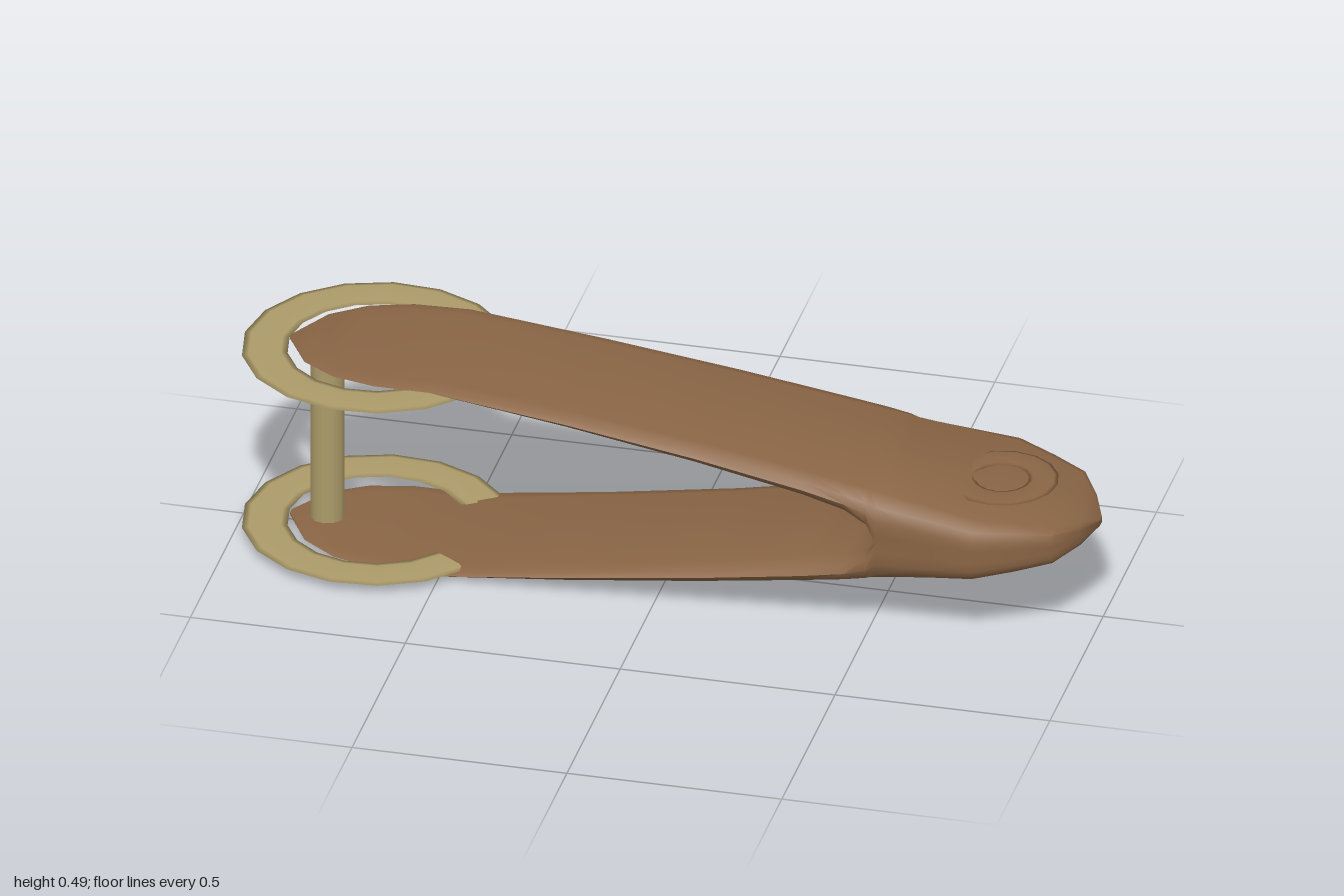
import * as THREE from 'three';
import { mergeGeometries, toCreasedNormals } from 'three/addons/utils/BufferGeometryUtils.js';

const MID = 0.2455; // height of the mirror plane between the two arms

// Stations along an arm: x, half width, inner y, outer y, merge (0 free arm, 1 joined)
const STATIONS = [
  [-0.89, 0.01, 0.47, 0.474, 0],
  [-0.83, 0.115, 0.471, 0.479, 0],
  [-0.75, 0.17, 0.472, 0.484, 0],
  [-0.65, 0.197, 0.473, 0.488, 0],
  [-0.52, 0.2, 0.474, 0.491, 0],
  [-0.2, 0.203, 0.427, 0.459, 0],
  [0.1, 0.209, 0.378, 0.421, 0],
  [0.35, 0.217, 0.33, 0.383, 0],
  [0.45, 0.222, 0.304, 0.367, 0.15],
  [0.5, 0.225, 0.278, 0.359, 0.5],
  [0.525, 0.226, MID, 0.355, 1],
  [0.64, 0.233, MID, 0.337, 1],
  [0.75, 0.24, MID, 0.32, 1],
  [0.84, 0.202, MID, 0.305, 1],
  [0.92, 0.163, MID, 0.289, 1],
  [0.965, 0.085, MID, 0.273, 1],
  [0.995, 0.01, MID, 0.252, 1],
];

// Rounded flat cross-section, listed around the arm
function section([x, w, inner, outer, m]) {
  const half = [
    [0.8 + 0.2 * m, 0],
    [0.95 + 0.05 * m, 0.2],
    [1, 0.5],
    [0.95, 0.8],
    [0.8, 1],
  ];
  const loop = [...half, ...half.slice().reverse().map(([z, t]) => [-z, t])];
  return loop.map(([z, t]) => [x, inner + (outer - inner) * t, z * w]);
}

// Loft one arm; side -1 gives the mirrored lower arm
function armGeometry(side) {
  const pos = [], idx = [], n = 10, last = STATIONS.length - 1;
  const tri = (a, b, c) => (side > 0 ? idx.push(a, b, c) : idx.push(a, c, b));
  for (const s of STATIONS) {
    for (const [x, y, z] of section(s)) pos.push(x, MID + side * (y - MID), z);
  }
  for (let i = 0; i < last; i++) {
    for (let j = 0; j < n; j++) {
      const a = i * n + j, b = i * n + ((j + 1) % n);
      tri(a, a + n, b);
      tri(b, a + n, b + n);
    }
  }
  for (let j = 1; j < n - 1; j++) {
    tri(0, j, j + 1);
    tri(last * n, last * n + j + 1, last * n + j);
  }
  const g = new THREE.BufferGeometry();
  g.setAttribute('position', new THREE.Float32BufferAttribute(pos, 3));
  g.setIndex(idx);
  return g;
}

// Very flat horizontal ring, open towards +x when gap > 0
function flatRing(radius, tube, thickness, gap, segments) {
  const g = new THREE.TorusGeometry(radius, tube, 8, segments, Math.PI * 2 - 2 * gap);
  g.rotateZ(gap);
  g.rotateX(-Math.PI / 2);
  g.scale(1, thickness / (2 * tube), 1);
  return g;
}

export function createModel() {
  const group = new THREE.Group();
  const leather = new THREE.MeshStandardMaterial({ name: 'brown leather', color: 0x8a6545 });
  const brass = new THREE.MeshStandardMaterial({ name: 'pale brass', color: 0xad9c6a, side: THREE.DoubleSide });

  const add = (name, geometry, material, x, y, z) => {
    const mesh = new THREE.Mesh(geometry, material);
    mesh.name = name;
    mesh.position.set(x, y, z);
    group.add(mesh);
  };

  // Folded strap: two arms joined at the pointed end
  const strap = mergeGeometries([armGeometry(1), armGeometry(-1)]);
  add('foldedStrap', toCreasedNormals(strap, 0.8), leather, 0, 0, 0);

  // Open rings around the strap ends
  const ring = flatRing(0.255, 0.052, 0.006, 0.6, 14);
  add('upperRing', ring, brass, -0.69, 0.469, 0);
  add('lowerRing', ring, brass, -0.69, 0.024, 0);

  // Post joining the two ends
  add('post', new THREE.CylinderGeometry(0.04, 0.04, 0.45, 12), brass, -0.805, 0.2465, 0);

  // Half-sunk loops near the fold
  const loop = flatRing(0.095, 0.034, 0.008, 0, 16);
  add('upperLoop', loop, leather, 0.765, 0.326, 0);
  add('lowerLoop', loop, leather, 0.715, 0.158, 0);

  return group;
}
